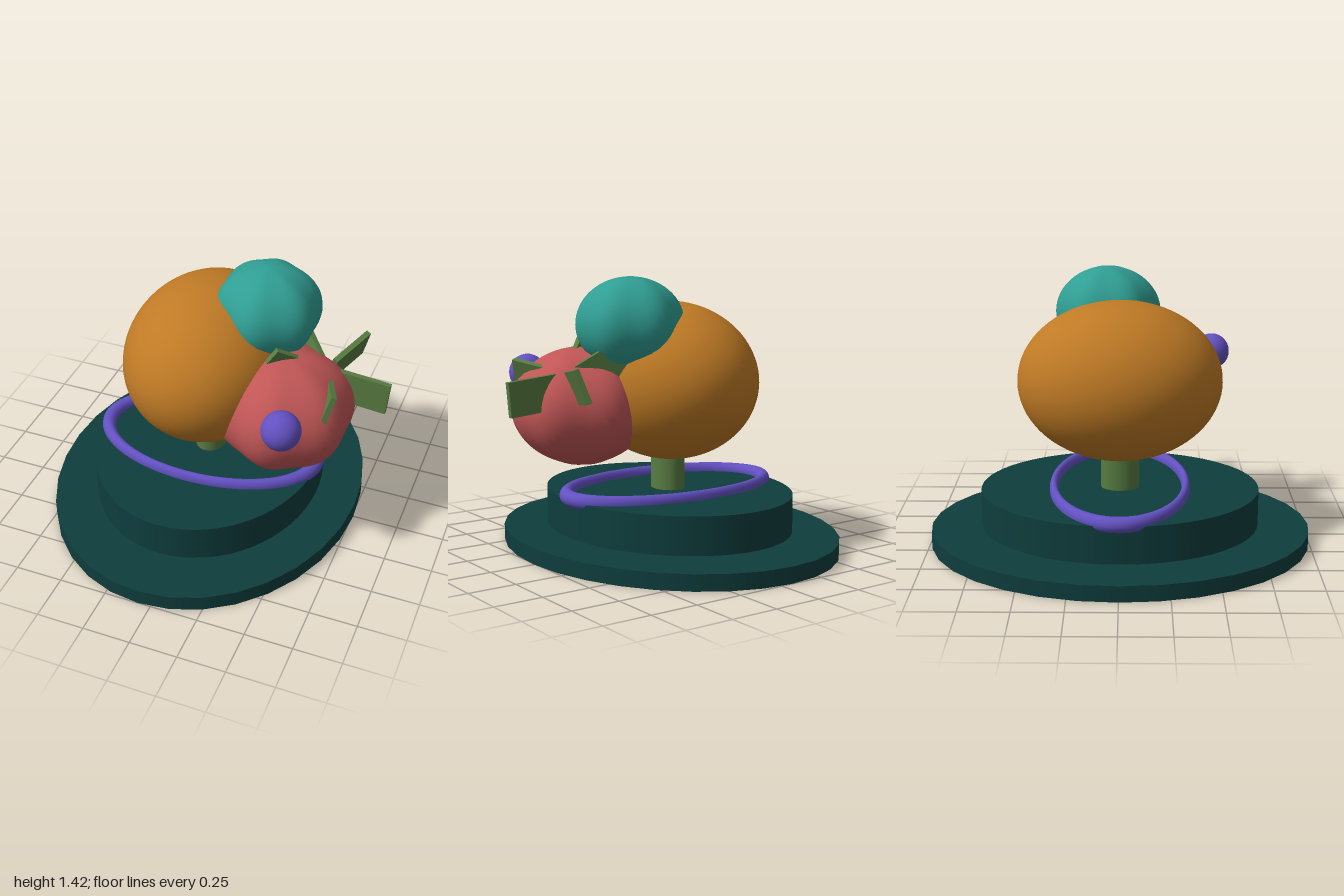
import * as THREE from 'three';

const mat = (name, color) => {
  const m = new THREE.MeshStandardMaterial({ color });
  m.name = name;
  return m;
};

// Sphere with six soft vertical lobes around y
function lobedSphere(amount) {
  const geo = new THREE.SphereGeometry(1, 48, 32);
  const p = geo.attributes.position;
  for (let i = 0; i < p.count; i++) {
    const x = p.getX(i), z = p.getZ(i);
    const k = 1 + amount * Math.cos(6 * Math.atan2(x, z));
    p.setXYZ(i, x * k, p.getY(i), z * k);
  }
  // Normals from a smooth analytic sphere seam: recompute, then weld the seam columns
  geo.computeVertexNormals();
  const n = geo.attributes.normal, a = new THREE.Vector3(), b = new THREE.Vector3();
  for (let r = 0; r <= 32; r++) {
    const i = r * 49, j = i + 48;
    a.fromBufferAttribute(n, i).add(b.fromBufferAttribute(n, j)).normalize();
    n.setXYZ(i, a.x, a.y, a.z);
    n.setXYZ(j, a.x, a.y, a.z);
  }
  return geo;
}

export function createModel() {
  const model = new THREE.Group();
  const dark = mat('dark teal', 0x0f3d3d);
  const orange = mat('orange', 0xbf7a25);
  const teal = mat('teal', 0x309e93);
  const red = mat('red', 0xc05656);
  const purple = mat('purple', 0x6351c2);
  const green = mat('leaf green', 0x587c42);
  const CX = -0.066; // axis of the stand

  const add = (name, geo, material, pos, scale = [1, 1, 1], parent = model) => {
    const mesh = new THREE.Mesh(geo, material);
    mesh.name = name;
    mesh.position.set(...pos);
    mesh.scale.set(...scale);
    parent.add(mesh);
    return mesh;
  };

  // Stand: two oval discs, an oval ring and a short post
  add('baseDisc', new THREE.CylinderGeometry(1, 1, 0.083, 32), dark, [CX, 0.0415, 0], [0.824, 1, 1]);
  add('plinth', new THREE.CylinderGeometry(1, 1, 0.195, 64), dark, [CX, 0.1975, 0], [0.605, 1, 0.73]);
  const ringGeo = new THREE.TorusGeometry(0.6, 0.04, 16, 72).rotateX(Math.PI / 2);
  add('ring', ringGeo, purple, [CX, 0.302, 0], [0.992, 1, 0.578]);
  add('post', new THREE.CylinderGeometry(0.1, 0.1, 0.26, 32), green, [CX, 0.42, 0], [0.82, 1, 1]);

  // Fruits
  add('largeFruit', new THREE.SphereGeometry(1, 64, 40), orange, [CX, 0.87, 0], [0.44, 0.415, 0.53]);
  add('topFruit', lobedSphere(0.04), teal, [0.217, 1.18, -0.065], [0.267, 0.24, 0.267]);
  add('sideFruit', lobedSphere(0.04), red, [0.385, 0.755, 0.135], [0.35, 0.305, 0.35]);
  add('berry', new THREE.SphereGeometry(0.098, 32, 20), purple, [0.492, 0.9, 0.505]);

  // Tilted whorl of five raised leaves
  const whorl = new THREE.Group();
  whorl.name = 'leafWhorl';
  whorl.position.set(0.553, 0.922, 0);
  whorl.rotation.z = -0.36;
  model.add(whorl);
  for (let i = 0; i < 5; i++) {
    const arm = new THREE.Group();
    arm.name = 'leafArm';
    arm.rotation.y = (i / 5) * Math.PI * 2;
    whorl.add(arm);
    const leaf = add('leaf', new THREE.BoxGeometry(0.27, 0.175, 0.028), green, [0.21, 0, 0], [1, 1, 1], arm);
    leaf.rotation.z = 0.27;
  }
  return model;
}
